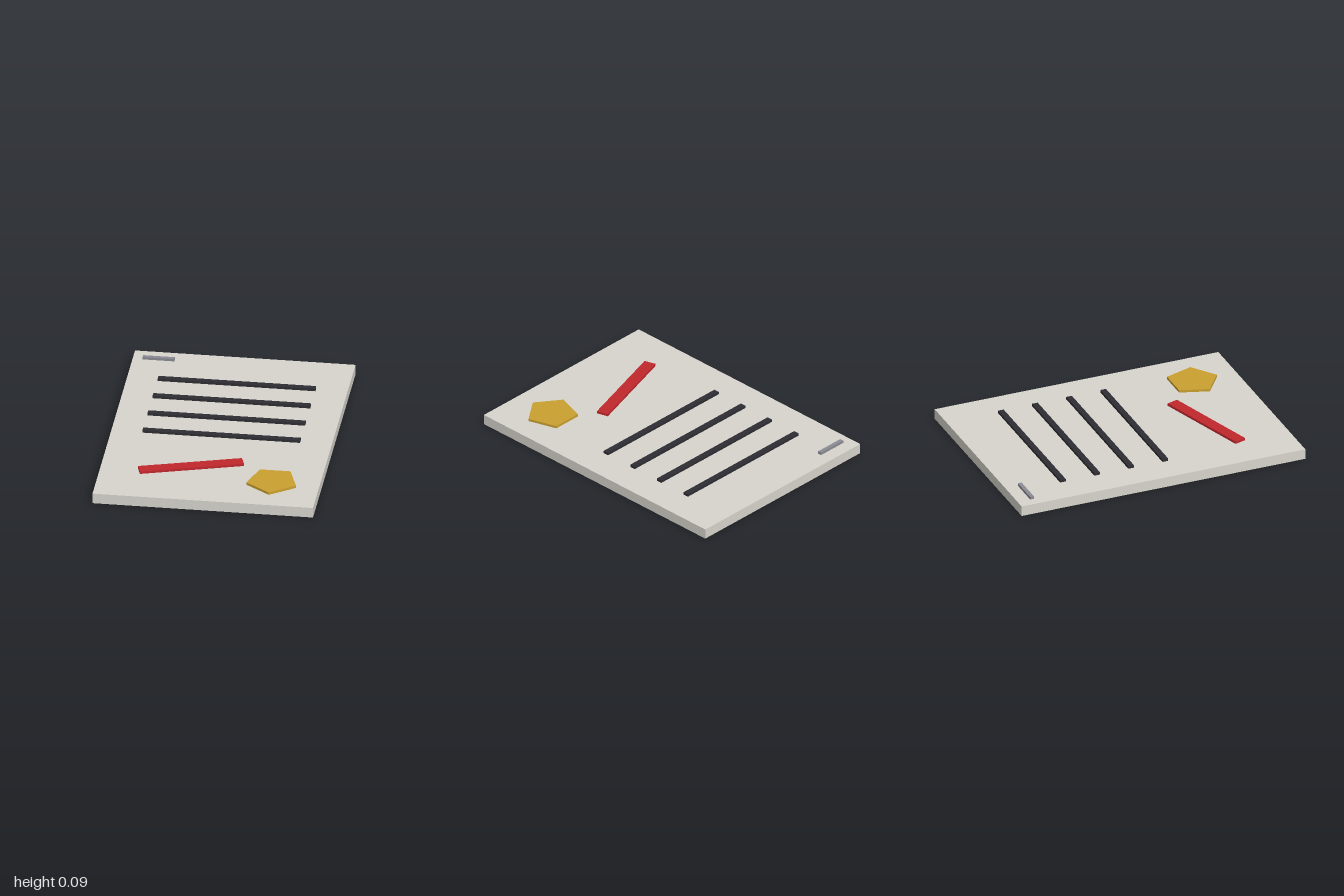
import * as THREE from 'three';

const BOARD_TOP = 0.07;
const RELIEF = 0.017; // height of everything lying on the board

export function createModel() {
  const model = new THREE.Group();

  const add = (name, geometry, color, x, y, z, turn = 0) => {
    const material = new THREE.MeshStandardMaterial({ color, flatShading: true });
    const mesh = new THREE.Mesh(geometry, material);
    mesh.name = name;
    mesh.position.set(x, y, z);
    mesh.rotation.y = turn;
    model.add(mesh);
  };
  const reliefY = BOARD_TOP + RELIEF / 2;
  const strip = (name, length, width, color, x, z, turn) =>
    add(name, new THREE.BoxGeometry(length, RELIEF, width), color, x, reliefY, z, turn);

  // Flat slab
  add('board', new THREE.BoxGeometry(1.445, BOARD_TOP, 2), 0xd6d4cc, 0, BOARD_TOP / 2, 0);

  // Small grey strip in the back corner
  strip('cornerStrip', 0.207, 0.027, 0x8a8a94, -0.553, -0.898);

  // Four evenly spaced dark lines
  for (let i = 0; i < 4; i++) {
    strip(`textLine${i + 1}`, 1.033, 0.04, 0x2d2d33, -0.002, -0.622 + i * 0.2405);
  }

  // Slanted red bar
  strip('slantedBar', 0.684, 0.079, 0xc1272d, -0.14, 0.549, 0.3);

  // Five-sided seal, one corner pointing to the front
  add('seal', new THREE.CylinderGeometry(0.171, 0.171, RELIEF, 5), 0xc9a030, 0.412, reliefY, 0.687);

  return model;
}
